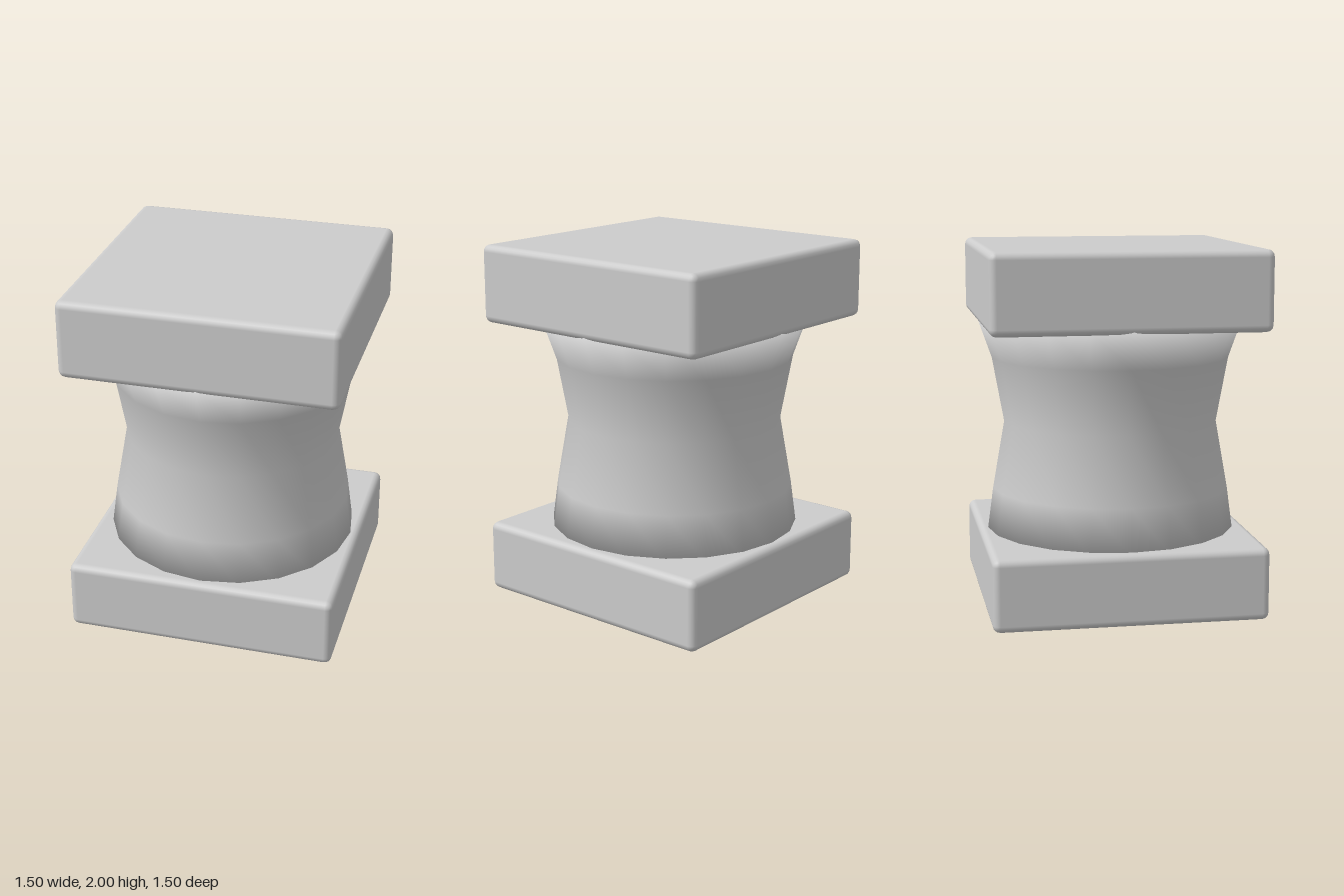
import * as THREE from 'three';
import { RoundedBoxGeometry } from 'three/addons/geometries/RoundedBoxGeometry.js';
import { mergeVertices } from 'three/addons/utils/BufferGeometryUtils.js';

export function createModel() {
  const model = new THREE.Group();
  const stone = new THREE.MeshStandardMaterial({ color: 0xcccccc });
  stone.name = 'grey stone';

  const add = (name, geometry, y = 0) => {
    const mesh = new THREE.Mesh(geometry, stone);
    mesh.name = name;
    mesh.position.y = y;
    model.add(mesh);
  };

  // Square slabs with softened edges
  const slab = (name, bottom, top) =>
    add(name, new RoundedBoxGeometry(1.5, top - bottom, 1.5, 2, 0.04), (bottom + top) / 2);
  slab('baseSlab', 0, 0.4);
  slab('topSlab', 1.565, 2);

  // Waisted twenty-sided column, capped inside the slabs and smoothed over its rims
  const profile = [
    [0, 0.37], [0.705, 0.37], [0.67, 0.63], [0.603, 1.01],
    [0.668, 1.37], [0.745, 1.59], [0, 1.59],
  ].map(([r, y]) => new THREE.Vector2(r, y));
  const lathe = new THREE.LatheGeometry(profile, 20);
  lathe.deleteAttribute('uv');
  lathe.deleteAttribute('normal');
  const column = mergeVertices(lathe, 1e-4);
  column.computeVertexNormals();
  add('column', column);

  return model;
}
